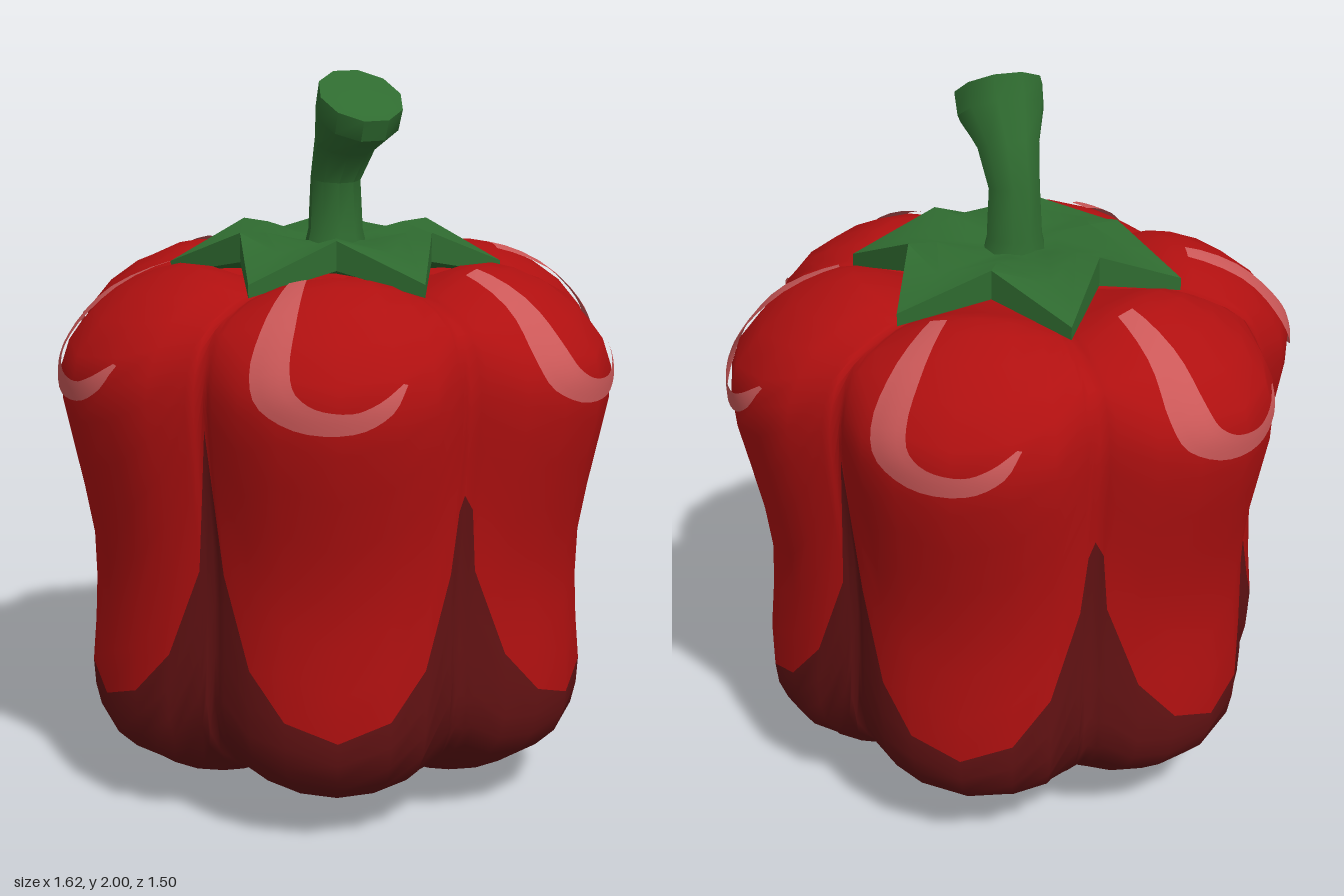
import * as THREE from 'three';
import { toCreasedNormals } from 'three/addons/utils/BufferGeometryUtils.js';

const mat = (name, color, side = THREE.FrontSide) => {
  const m = new THREE.MeshStandardMaterial({ color, side });
  m.name = name;
  return m;
};

// Grid surface: fn(u, v) -> [x, y, z]; rows run along v, columns along u (optionally closed)
function grid(cols, rows, closed, fn) {
  const pos = [], index = [];
  for (let v = 0; v < rows; v++) for (let u = 0; u < cols; u++) pos.push(...fn(u, v));
  for (let v = 0; v < rows - 1; v++) {
    for (let u = 0; u < (closed ? cols : cols - 1); u++) {
      const a = v * cols + u, b = v * cols + (u + 1) % cols;
      index.push(a, a + cols, b, b, a + cols, b + cols);
    }
  }
  const g = new THREE.BufferGeometry();
  g.setAttribute('position', new THREE.Float32BufferAttribute(pos, 3));
  g.setIndex(index);
  g.computeVertexNormals();
  return g;
}

// Matching profiles (radius, height) through a lobe's middle and through a crease
const profile = (pts) => new THREE.CatmullRomCurve3(pts.map(([r, y]) => new THREE.Vector3(r, y, 0)), false, 'catmullrom', 0.5);
const lobe = profile([[0, 0.06], [0.25, 0.05], [0.36, 0.045], [0.52, 0.085], [0.69, 0.2], [0.73, 0.35], [0.715, 0.55], [0.715, 0.75],
  [0.76, 0.97], [0.8, 1.16], [0.78, 1.29], [0.65, 1.42], [0.5, 1.49], [0.4, 1.49], [0.25, 1.44], [0, 1.41]]);
const crease = profile([[0, 0.06], [0.2, 0.08], [0.32, 0.1], [0.47, 0.14], [0.6, 0.24], [0.645, 0.36], [0.64, 0.55], [0.64, 0.75],
  [0.66, 0.97], [0.68, 1.16], [0.67, 1.27], [0.63, 1.37], [0.5, 1.42], [0.4, 1.43], [0.25, 1.42], [0, 1.41]]);
const LAST = 15;

// Radius and height at profile step s, t = -1..1 across a lobe
function section(t, s) {
  const k = Math.min(1, Math.max(0, s / LAST));
  return lobe.getPoint(k).lerp(crease.getPoint(k), t * t);
}
function skin(lobeIndex, t, s, lift = 0) {
  const p = section(t, s);
  const d = section(t, s + 0.05).sub(section(t, s - 0.05)).normalize();
  const r = p.x + d.y * lift, a = (lobeIndex + t / 2) * Math.PI / 3;
  return [r * Math.cos(a), p.y - d.x * lift, r * Math.sin(a)];
}

// Height of the dark base's scalloped edge across a lobe
const edgeT = [0, 0.37, 0.65, 0.89, 0.94, 1], edgeY = [0.33, 0.38, 0.5, 0.74, 0.91, 1.13];
function edgeStep(t, lobeIndex) {
  const i = edgeT.indexOf(Math.abs(t));
  const a = ((lobeIndex * 2 + t) % 6 + 6) % 6;
  const y = i === 5 && a === 3 ? 0.95 : edgeY[i];
  let lo = 4, hi = 10;
  for (let n = 0; n < 25; n++) {
    const mid = (lo + hi) / 2;
    if (section(t, mid).y < y) lo = mid; else hi = mid;
  }
  return lo;
}

function bodyGeometry() {
  const ts = [-1, -0.94, -0.89, -0.65, -0.37, 0, 0.37, 0.65, 0.89, 0.94];
  const low = 12, high = 16, cols = ts.length * 6;
  const columns = Array.from({ length: cols }, (_, u) => {
    const n = Math.floor(u / ts.length), t = ts[u % ts.length];
    return { n, t, split: edgeStep(t, n) };
  });
  const g = grid(cols, low + high + 1, true, (u, v) => {
    const { n, t, split } = columns[u];
    const s = v <= low ? split * v / low : split + (LAST - split) * (v - low) / high;
    return skin(n, t, s);
  });
  g.addGroup(0, low * cols * 6, 0);
  g.addGroup(low * cols * 6, high * cols * 6, 1);
  return g;
}

// Hooked gleam on one lobe: outer and inner edges given as (t, profile step)
function gleamGeometry(n) {
  const curve = (pts) => new THREE.CatmullRomCurve3(pts.map(([t, s]) => new THREE.Vector3(t, s, 0)));
  const outer = curve([[0.5, 12.2], [0.55, 11], [0.57, 10.1], [0.46, 9.4], [0.2, 9.08], [-0.1, 9.08], [-0.3, 9.35], [-0.43, 9.95]]);
  const inner = curve([[0.31, 12.2], [0.3, 11], [0.3, 10.2], [0.24, 9.75], [0.1, 9.5], [-0.08, 9.45], [-0.22, 9.6], [-0.4, 9.97]]);
  return grid(5, 25, false, (u, v) => {
    const p = outer.getPoint(v / 24).lerp(inner.getPoint(v / 24), u / 4);
    return skin(n, p.x, p.y, 0.008);
  });
}

// Six-pointed leafy star, top rim at y = 0; each row: tip radius, tip y, notch radius, notch y
function starGeometry() {
  const rows = [[0.1, -0.12, 0.1, -0.12], [0.3, -0.12, 0.24, -0.09], [0.46, -0.135, 0.3, -0.08],
    [0.46, -0.1, 0.3, 0], [0.3, -0.04, 0.22, -0.005], [0.12, -0.04, 0.12, -0.03], [0, -0.05, 0, -0.05]];
  return toCreasedNormals(grid(12, rows.length, true, (u, v) => {
    const [tr, ty, nr, ny] = rows[v], tip = u % 2 === 1, a = u * Math.PI / 6, r = tip ? tr : nr;
    return [r * Math.cos(a), tip ? ty : ny, r * Math.sin(a)];
  }), 0.7);
}

// Bent stem with a flared, tilted, slightly dished end; each row: y, z, tilt, radius
function stemGeometry() {
  const rows = [[1.48, 0, 0, 0.085], [1.56, 0, 0, 0.068], [1.7, 0, 0.12, 0.062], [1.8, 0.05, 0.4, 0.075],
    [1.875, 0.115, 0.6, 0.105], [1.935, 0.135, 0.65, 0.107], [1.92, 0.125, 0.65, 0]];
  return toCreasedNormals(grid(10, rows.length, true, (u, v) => {
    const [y, z, tilt, r] = rows[v], a = u * Math.PI / 5;
    return [r * 1.17 * Math.cos(a), y - r * Math.sin(a) * Math.sin(tilt), z + r * Math.sin(a) * Math.cos(tilt)];
  }), 0.7);
}

export function createModel() {
  const red = mat('red skin', 0xb01010);
  const dark = mat('dark red skin', 0x621213);
  const green = mat('green', 0x2f6b30);
  const pink = mat('gleam pink', 0xcb5858, THREE.DoubleSide);

  const model = new THREE.Group();
  model.name = 'bellPepper';
  const add = (name, geometry, material) => {
    const m = new THREE.Mesh(geometry, material);
    m.name = name;
    model.add(m);
    return m;
  };

  add('body', bodyGeometry(), [dark, red]);
  for (let n = 0; n < 6; n++) add('gleam' + (n + 1), gleamGeometry(n), pink);

  add('calyx', starGeometry(), green).position.y = 1.57;
  const base = add('blossomEnd', starGeometry(), green);
  base.rotation.x = Math.PI;
  base.scale.set(0.47, 0.5, 0.47);
  add('stem', stemGeometry(), green);
  return model;
}
